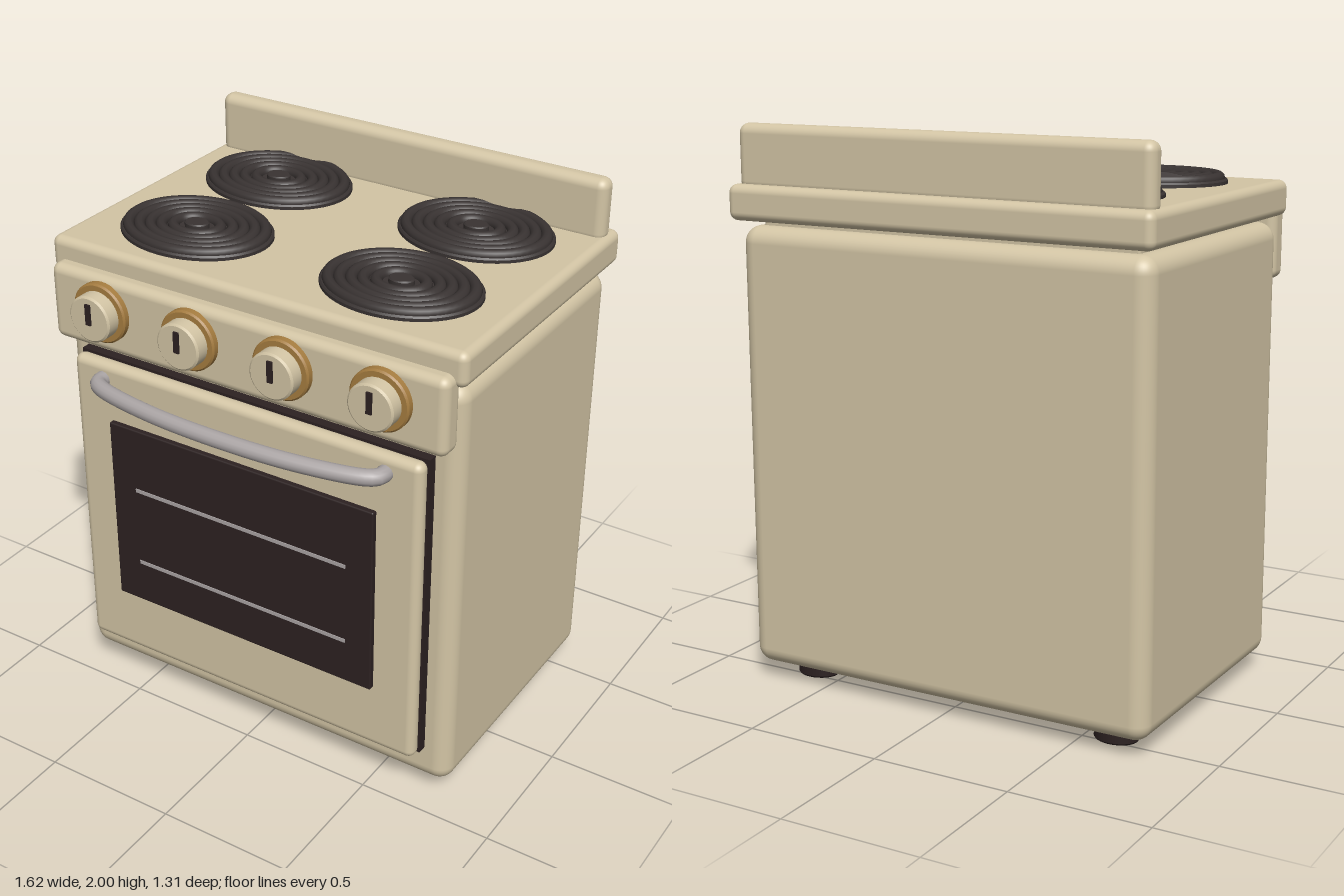
import * as THREE from 'three';
import { RoundedBoxGeometry } from 'three/addons/geometries/RoundedBoxGeometry.js';

const material = (name, color) => {
  const m = new THREE.MeshStandardMaterial({ color });
  m.name = name;
  return m;
};

export function createModel() {
  const cream = material('cream enamel', 0xd3c5a5);
  const dark = material('dark glass and rubber', 0x2c2121);
  const iron = material('iron coil', 0x393332);
  const brass = material('brass', 0xa67d40);
  const steel = material('steel', 0xaaa4a4);

  const stove = new THREE.Group();
  stove.name = 'stove';

  const add = (name, geometry, mat, x = 0, y = 0, z = 0, parent = stove) => {
    const mesh = new THREE.Mesh(geometry, mat);
    mesh.name = name;
    mesh.position.set(x, y, z);
    parent.add(mesh);
    return mesh;
  };
  // Rounded block centred on x, given its y and z extents
  const block = (name, mat, width, y0, y1, z0, z1, radius) =>
    add(name, new RoundedBoxGeometry(width, y1 - y0, z1 - z0, 5, radius), mat,
      0, (y0 + y1) / 2, (z0 + z1) / 2);
  // Solid of revolution; repeated profile points keep its edges crisp
  const turned = (profile, segments = 40) => {
    const points = [];
    profile.forEach(([r, y], i) => {
      const p = new THREE.Vector2(r, y);
      points.push(p);
      if (i > 0 && i < profile.length - 1) points.push(p.clone());
    });
    return new THREE.LatheGeometry(points, segments);
  };

  // Cabinet, cooktop, splash back and control panel
  block('body', cream, 1.575, 0.06, 1.65, -0.62, 0.415, 0.06);
  block('cooktop', cream, 1.615, 1.67, 1.795, -0.655, 0.447, 0.03);
  block('cooktopSupport', cream, 1.44, 1.6, 1.7, -0.56, 0.36, 0.01);
  block('backguard', cream, 1.575, 1.77, 2.0, -0.615, -0.537, 0.034);
  block('controlPanel', cream, 1.55, 1.44, 1.72, 0.405, 0.5, 0.032);

  // Oven door with gasket, window and racks
  add('doorGasket', new THREE.BoxGeometry(1.395, 1.19, 0.05), dark, 0, 0.8, 0.425);
  block('door', cream, 1.395, 0.205, 1.395, 0.445, 0.505, 0.029);
  block('ovenWindow', dark, 1.075, 0.46, 1.18, 0.485, 0.525, 0.006);
  for (const y of [0.63, 0.935]) {
    add('ovenRack', new THREE.BoxGeometry(0.87, 0.014, 0.006), steel, 0, y, 0.525);
  }

  // Bowed door handle
  const bow = new THREE.CatmullRomCurve3([
    [-0.567, 0.48], [-0.564, 0.535], [-0.53, 0.562], [-0.3, 0.61], [0, 0.626],
    [0.3, 0.61], [0.53, 0.562], [0.564, 0.535], [0.567, 0.48],
  ].map(([x, z]) => new THREE.Vector3(x, 1.335, z)));
  add('doorHandle', new THREE.TubeGeometry(bow, 64, 0.029, 14), steel);

  // Four control knobs
  const bezelShape = turned([[0, 0], [0.109, 0], [0.109, 0.022], [0.103, 0.028], [0, 0.028]]);
  const knobShape = turned([[0, 0], [0.084, 0], [0.084, 0.074], [0.077, 0.08], [0, 0.08]]);
  for (const x of [-0.549, -0.183, 0.183, 0.549]) {
    const knob = new THREE.Group();
    knob.name = 'controlKnob';
    knob.position.set(x, 1.598, 0.498);
    stove.add(knob);
    add('knobBezel', bezelShape, brass, 0, 0, 0, knob).rotation.x = Math.PI / 2;
    add('knobCap', knobShape, cream, 0, 0, 0, knob).rotation.x = Math.PI / 2;
    add('knobPointer', new THREE.BoxGeometry(0.02, 0.076, 0.009), dark, 0, 0.02, 0.083, knob);
  }

  // Four oval burners: drip pan, concentric coils and centre cap
  const panShape = turned([[0, 0], [0.281, 0], [0.281, 0.012], [0.275, 0.018], [0, 0.018]], 56);
  const capShape = turned([[0, 0], [0.045, 0], [0.045, 0.034], [0.04, 0.038], [0, 0.038]], 32);
  const coilShapes = [0.085, 0.13, 0.17, 0.21, 0.25].map((r) => {
    const coil = new THREE.TorusGeometry(r, 0.021, 10, 56);
    coil.rotateX(Math.PI / 2);
    return coil;
  });
  for (const x of [-0.405, 0.405]) {
    for (const z of [-0.35, 0.15]) {
      const burner = new THREE.Group();
      burner.name = 'burner';
      burner.position.set(x, 1.794, z);
      burner.scale.z = 0.805;
      stove.add(burner);
      add('burnerPan', panShape, iron, 0, 0, 0, burner);
      add('burnerCap', capShape, iron, 0, 0, 0, burner);
      for (const coil of coilShapes) add('burnerCoil', coil, iron, 0, 0.019, 0, burner);
    }
  }

  // Feet
  const footShape = turned([[0, 0], [0.075, 0], [0.08, 0.006], [0.08, 0.08], [0, 0.08]], 28);
  for (const x of [-0.61, 0.61]) {
    for (const z of [-0.46, 0.255]) {
      add('foot', footShape, dark, x, 0, z).scale.z = 0.8;
    }
  }
  return stove;
}
